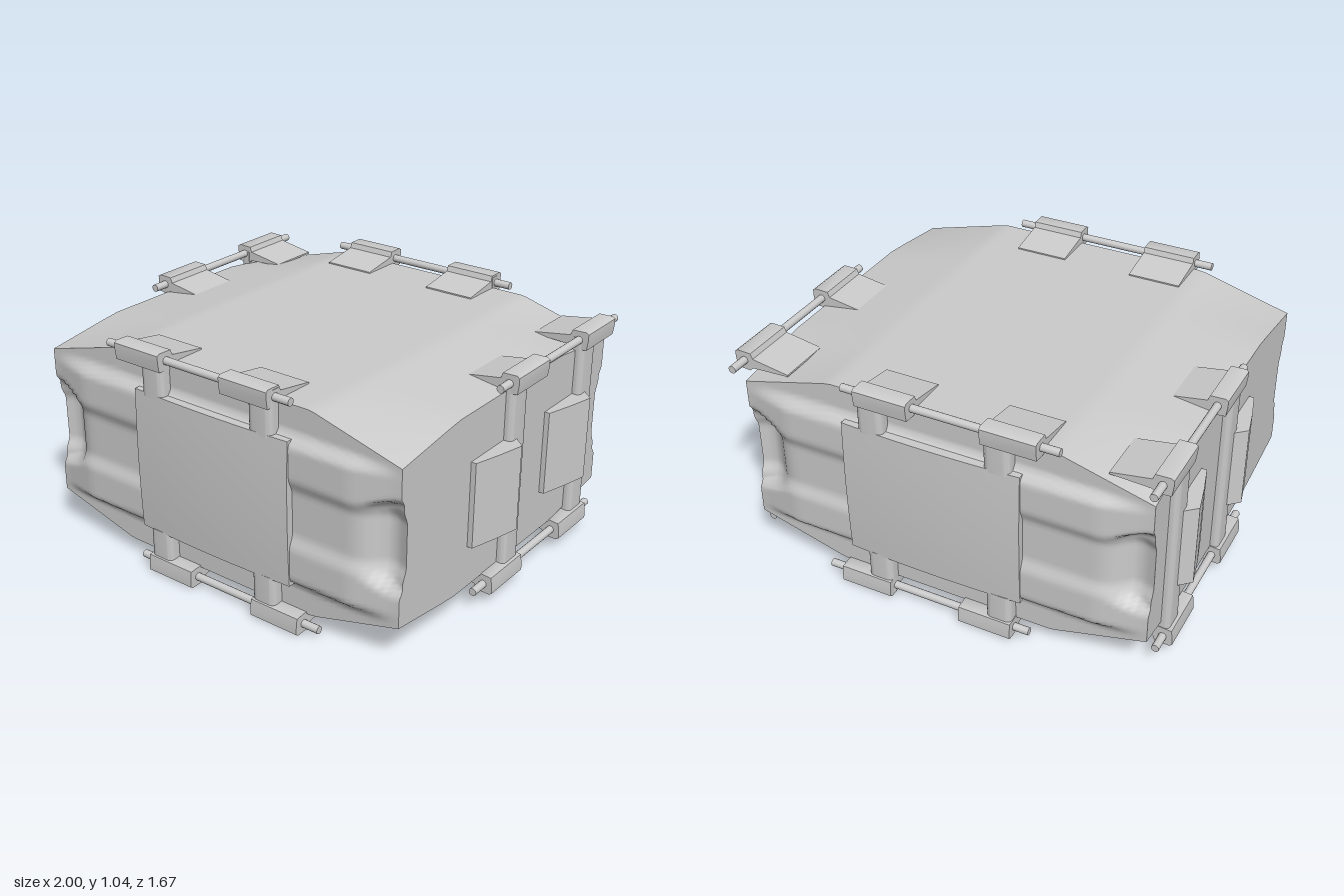
import * as THREE from 'three';
import { toCreasedNormals } from 'three/addons/utils/BufferGeometryUtils.js';

const { clamp, smoothstep } = THREE.MathUtils;
const MID = 0.5325; // mid height of the hull
const HX = 0.915, HZ = 0.77;

export function createModel() {
  const model = new THREE.Group();
  const mat = new THREE.MeshStandardMaterial({ color: 0xcccccc, side: THREE.DoubleSide });
  const add = (name, geo, x = 0, y = 0, z = 0) => {
    const mesh = new THREE.Mesh(geo, mat);
    mesh.name = name;
    mesh.position.set(x, y, z);
    model.add(mesh);
    return mesh;
  };

  // Hull: crowned top and bottom, dropped corners, moulded front and back
  const hull = new THREE.BoxGeometry(HX * 2, 2, HZ * 2, 60, 48, 16);
  const p = hull.attributes.position;
  for (let i = 0; i < p.count; i++) {
    const x = p.getX(i), v = p.getY(i), z = p.getZ(i);
    const ax = Math.abs(x), az = Math.abs(z);
    const edge = clamp((ax - 0.5) / (HX - 0.5), 0, 1);
    const end = clamp((az - 0.4) / (HZ - 0.4), 0, 1);
    const half = 0.4525 - 0.06 * edge - 0.052 * edge * end;
    const y = v * half;
    p.setY(i, MID + y);
    if (az > HZ - 1e-4) {
      const ay = Math.abs(y);
      // raised field, tapering towards the corners
      let d = 0.042 * (1 - smoothstep(ay, 0.29, 0.34)) * (1 - clamp((ax - 0.7) / 0.2, 0, 1));
      // central groove
      d -= 0.022 * (1 - smoothstep(ay, 0.09, 0.16));
      // corner pockets, widening outwards
      const reach = 0.12 + 0.06 * clamp((ax - 0.75) / 0.16, 0, 1);
      d -= 0.05 * smoothstep(ax, 0.74, 0.83) * (1 - 0.6 * smoothstep(ax, 0.86, 0.91))
        * (1 - smoothstep(ay, reach, reach + 0.04));
      p.setZ(i, Math.sign(z) * (HZ + d));
    }
  }
  hull.computeVertexNormals();
  add('hull', hull);

  // Bowed panels on the front and back
  for (const s of [1, -1]) {
    const panel = new THREE.BoxGeometry(0.8, 0.64, 0.08, 12, 12, 1);
    const q = panel.attributes.position;
    for (let i = 0; i < q.count; i++) {
      if (q.getZ(i) * s > 0) {
        const bow = 0.012 * (q.getX(i) / 0.4) ** 2 + 0.008 * (q.getY(i) / 0.32) ** 2;
        q.setZ(i, q.getZ(i) - s * bow);
      }
    }
    panel.computeVertexNormals();
    add(s > 0 ? 'frontPanel' : 'backPanel', panel, 0.02, 0.53, s * 0.795);
  }

  // Clamp: a rounded knob with a thin wedge lying on the hull
  const profile = [[-0.215, -0.022], [-0.215, -0.014], [-0.045, 0.014], [-0.036, 0.038], [0.028, 0.04],
    [0.04, 0.032], [0.04, 0.005], [0.034, -0.04], [-0.025, -0.045], [-0.045, -0.03]];
  const clampGeo = (su, sy, width) => {
    const shape = new THREE.Shape(profile.map(([u, y]) => new THREE.Vector2(u * su, y * sy)));
    const geo = new THREE.ExtrudeGeometry(shape, { depth: width, bevelEnabled: false });
    return toCreasedNormals(geo.translate(0, 0, -width / 2), 0.8);
  };
  const rod = (length) => new THREE.CylinderGeometry(0.017, 0.017, length, 16);

  // Flat strap with rounded long edges, width along x, facing z
  const strapGeo = (width, height, depth) => {
    const w = width / 2, d = depth / 2, r = depth * 0.45;
    const s = new THREE.Shape();
    s.moveTo(-w, -d);
    s.lineTo(w, -d);
    s.lineTo(w, d - r);
    s.quadraticCurveTo(w, d, w - r, d);
    s.lineTo(-w + r, d);
    s.quadraticCurveTo(-w, d, -w, d - r);
    const geo = new THREE.ExtrudeGeometry(s, { depth: height, bevelEnabled: false, curveSegments: 5 });
    geo.translate(0, 0, -height / 2).rotateX(-Math.PI / 2).rotateY(Math.PI);
    return toCreasedNormals(geo, 0.8);
  };

  // Left and right sides: rods, clamps, full-height straps and scoops
  for (const s of [1, -1]) {
    for (const [y, sy, rz, zs] of [[0.96, 1, -0.35, [-0.06, -0.625]], [0.1, -1, -0.22, [0.06, -0.5]]]) {
      add('sideRod', rod(0.96), s * 0.927, y, rz).rotation.x = Math.PI / 2;
      for (const z of zs) add('sideClamp', clampGeo(s, sy, 0.24), s * 0.93, y, z);
    }
    for (const z of [0.003, -0.56]) {
      add('sideStrap', strapGeo(0.115, 0.88, 0.05), s * 0.925, 0.53, z).rotation.y = s * Math.PI / 2;
    }
    for (const z of [0.3, -0.27]) {
      const outline = [[0.89, 0], [0.938, 0], [0.972, -0.12], [1, -0.24], [0.95, -0.285], [0.89, -0.285]];
      const shape = new THREE.Shape(outline.map(([x, dz]) => new THREE.Vector2(s * x, -(z + dz))));
      const scoop = new THREE.ExtrudeGeometry(shape, { depth: 0.38, bevelEnabled: false });
      scoop.rotateX(-Math.PI / 2);
      add('sideScoop', toCreasedNormals(scoop, 0.5), 0, 0.33, 0);
    }
  }

  // Front and back: rods, clamps and short strap tabs above and below the panels
  for (const s of [1, -1]) {
    for (const [y, sy, rx, xs] of [[1.005, 1, -0.06, [-0.34, 0.22]], [0.045, -1, 0.07, [-0.22, 0.35]]]) {
      add('endRod', rod(0.96), rx, y, s * 0.79).rotation.z = Math.PI / 2;
      for (const x of xs) add('endClamp', clampGeo(s, sy, 0.24).rotateY(-Math.PI / 2), x, y, s * 0.797);
      for (const x of [-0.28, 0.285]) {
        const tab = add('endStrap', strapGeo(0.115, 0.2, 0.06), x, y - sy * 0.07, s * 0.792);
        tab.rotation.y = s > 0 ? 0 : Math.PI;
      }
    }
  }
  return model;
}
